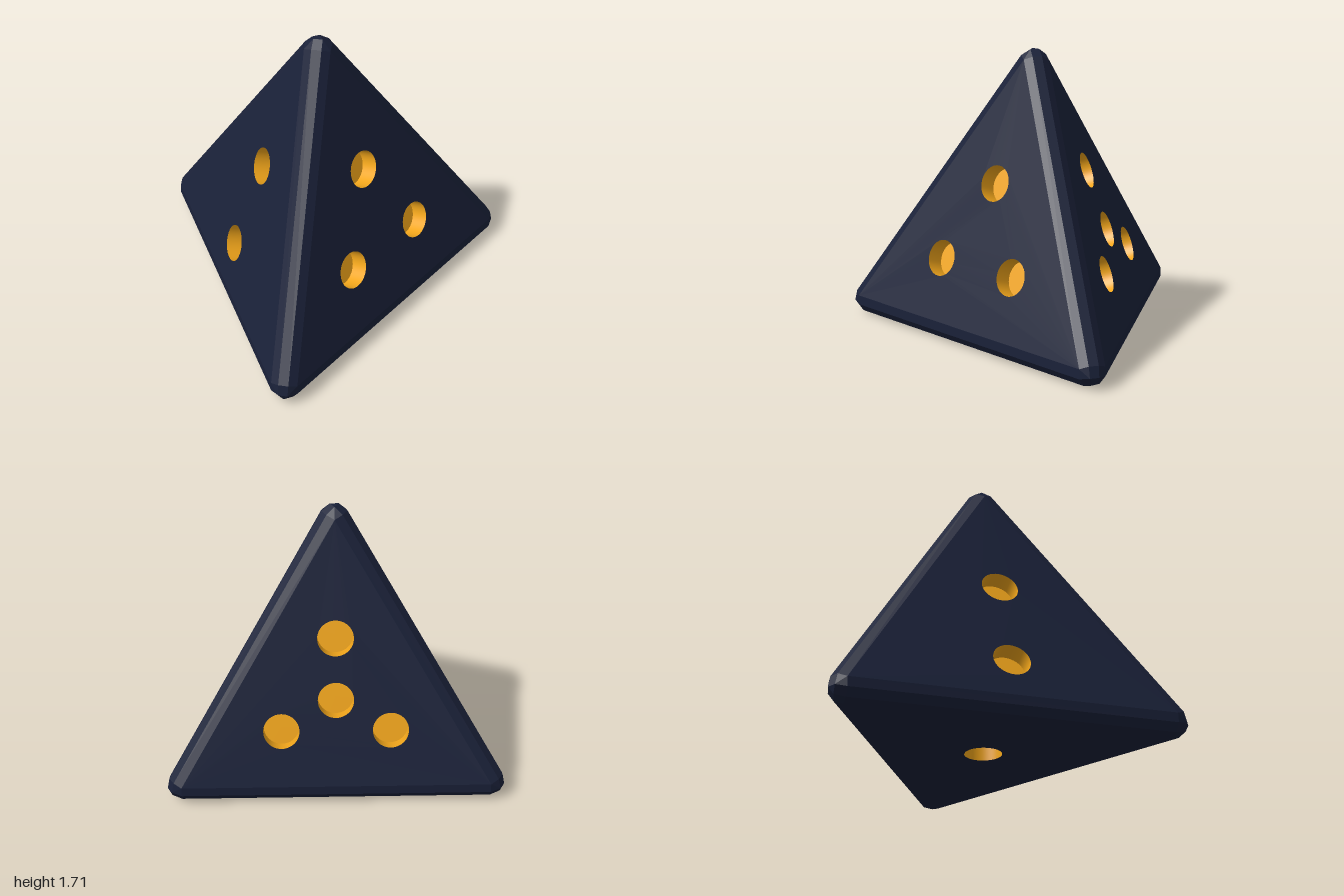
import * as THREE from 'three';

const CENTRE = new THREE.Vector3(-0.147, 0.475, 0.147);
const CORE_R = 1.085;      // circumradius of each flat triangular face
const ROUND = 0.092;       // radius of the rounded edges
const PIP_R = 0.109, PIP_DEPTH = 0.105;

const polar = (r, deg) => new THREE.Vector2(
  r * Math.cos(THREE.MathUtils.degToRad(deg)), r * Math.sin(THREE.MathUtils.degToRad(deg)));
const ring = r => [90, 210, 330].map(a => polar(r, a));

// Pip layouts in face coordinates, starting with the bottom face
const PIPS = [
  [new THREE.Vector2()],
  [...ring(0.38), new THREE.Vector2()],                            // back right face
  [new THREE.Vector2(0, 0.285), new THREE.Vector2(0, -0.285)],     // left-hand face
  ring(0.338),                                                     // front face
];

export function createModel() {
  const die = new THREE.Group();
  die.name = 'fourSidedDie';
  const bodyMat = new THREE.MeshStandardMaterial({ color: 0x1a2139, flatShading: true });
  const pipMat = new THREE.MeshStandardMaterial({ color: 0xf2a61b, side: THREE.DoubleSide });

  // Core tetrahedron: apex, then the corners opposite each side face
  const coreBase = ROUND;
  const apexY = coreBase + CORE_R * Math.SQRT2;
  const corner = deg => {
    const p = polar(CORE_R, deg);
    return new THREE.Vector3(CENTRE.x + p.x, coreBase, CENTRE.z + p.y);
  };
  const verts = [new THREE.Vector3(CENTRE.x, apexY, CENTRE.z), corner(135), corner(15), corner(255)];
  const mid = verts.reduce((s, v) => s.add(v), new THREE.Vector3()).multiplyScalar(0.25);
  const axes = verts.map(v => v.clone().sub(mid).normalize());
  const normals = axes.map(a => a.clone().negate());
  const inradius = mid.y;

  // Flat faces with round holes, each with its recessed pips
  const faceNames = ['bottomFace', 'backRightFace', 'leftHandFace', 'frontFace'];
  normals.forEach((n, k) => {
    const face = new THREE.Group();
    face.name = faceNames[k];
    const origin = mid.clone().addScaledVector(n, inradius);
    const up = verts[k === 0 ? 1 : 0].clone().addScaledVector(n, ROUND).sub(origin).normalize();
    const side = new THREE.Vector3().crossVectors(up, n);
    face.quaternion.setFromRotationMatrix(new THREE.Matrix4().makeBasis(side, up, n));
    face.position.copy(origin);

    const shape = new THREE.Shape(ring(CORE_R));
    for (const p of PIPS[k]) {
      shape.holes.push(new THREE.Path().absarc(p.x, p.y, PIP_R, 0, Math.PI * 2, true));

      const wall = new THREE.Mesh(
        new THREE.CylinderGeometry(PIP_R, PIP_R, PIP_DEPTH, 48, 1, true).rotateX(Math.PI / 2), pipMat);
      wall.name = 'pipWall';
      wall.position.set(p.x, p.y, -PIP_DEPTH / 2);
      const floor = new THREE.Mesh(new THREE.CircleGeometry(PIP_R, 48), pipMat);
      floor.name = 'pipFloor';
      floor.position.set(p.x, p.y, -PIP_DEPTH);
      face.add(wall, floor);
    }
    const panel = new THREE.Mesh(new THREE.ShapeGeometry(shape, 24), bodyMat);
    panel.name = 'facePanel';
    face.add(panel);
    die.add(face);
  });

  // Direction a fraction of the way round from one face normal to another
  const between = (i, j, t) => {
    const w = normals[i].angleTo(normals[j]);
    return normals[i].clone().multiplyScalar(Math.sin((1 - t) * w))
      .addScaledVector(normals[j], Math.sin(t * w)).normalize();
  };
  const at = (v, dir) => verts[v].clone().addScaledVector(dir, ROUND);

  // Adds a polygon as a fan, turned to face outwards
  const polygon = (out, pts) => {
    for (let i = 1; i < pts.length - 1; i++) {
      let [a, b, c] = [pts[0], pts[i], pts[i + 1]];
      const n = b.clone().sub(a).cross(c.clone().sub(a));
      if (n.dot(a.clone().sub(mid)) < 0) [b, c] = [c, b];
      for (const p of [a, b, c]) out.push(p.x, p.y, p.z);
    }
  };
  const addMesh = (name, positions) => {
    const geo = new THREE.BufferGeometry();
    geo.setAttribute('position', new THREE.Float32BufferAttribute(positions, 3));
    geo.computeVertexNormals();
    const mesh = new THREE.Mesh(geo, bodyMat);
    mesh.name = name;
    die.add(mesh);
  };

  // Rounded edges: three strips along each of the six edges
  const edges = [];
  for (let i = 0; i < 4; i++) for (let j = i + 1; j < 4; j++) {
    const [a, b] = [0, 1, 2, 3].filter(v => v !== i && v !== j);
    for (let s = 0; s < 3; s++) {
      const d0 = between(i, j, s / 3), d1 = between(i, j, (s + 1) / 3);
      polygon(edges, [at(a, d0), at(b, d0), at(b, d1), at(a, d1)]);
    }
  }
  addMesh('roundedEdges', edges);

  // Rounded corners: a small cap ringed by six facets
  const corners = [];
  for (let v = 0; v < 4; v++) {
    const faces = [0, 1, 2, 3].filter(f => f !== v);
    const inner = f => at(v, axes[v].clone().lerp(normals[f], 0.3).normalize());
    polygon(corners, faces.map(inner));
    faces.forEach((i, n) => {
      const j = faces[(n + 1) % 3], k = faces[(n + 2) % 3];
      polygon(corners, [at(v, normals[i]), at(v, between(i, j, 1 / 3)), inner(i), at(v, between(i, k, 1 / 3))]);
      polygon(corners, [at(v, between(i, j, 1 / 3)), at(v, between(i, j, 2 / 3)), inner(j), inner(i)]);
    });
  }
  addMesh('roundedCorners', corners);

  return die;
}
